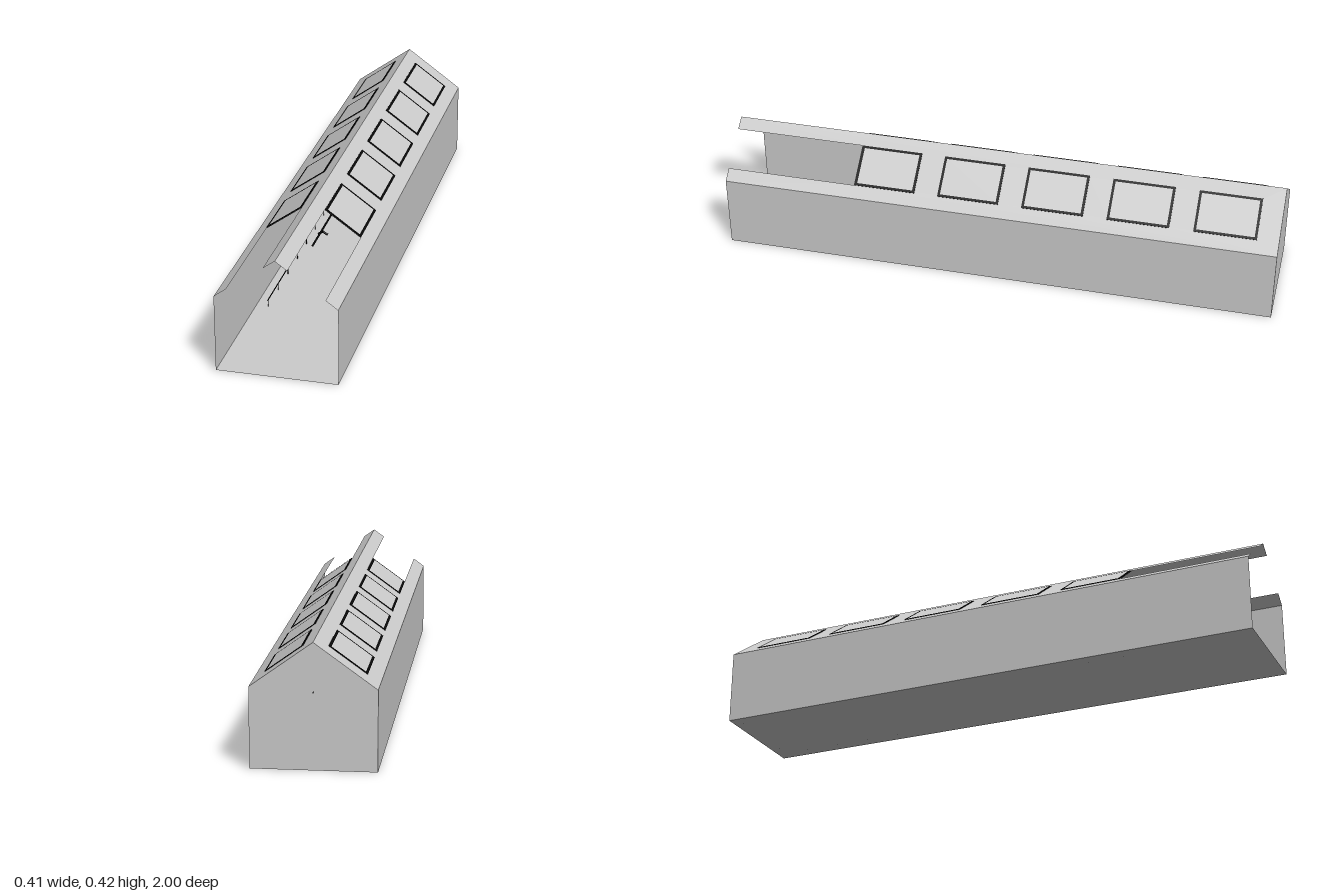
import * as THREE from 'three';

const HALF = 0.205, EAVE = 0.268, RIDGE = 0.416;
const SLOPE = Math.atan2(RIDGE - EAVE, HALF);
const SLOPE_LENGTH = Math.hypot(RIDGE - EAVE, HALF);
const alongSlope = x => x / Math.cos(SLOPE);

const shellMat = new THREE.MeshStandardMaterial({ color: 0xcccccc, side: THREE.DoubleSide });
const darkMat = new THREE.MeshStandardMaterial({ color: 0x080808 });

function add(parent, name, geometry, material, x = 0, y = 0, z = 0) {
  const mesh = new THREE.Mesh(geometry, material);
  mesh.name = name;
  mesh.position.set(x, y, z);
  parent.add(mesh);
  return mesh;
}

// Closed outline of a rectangle in the plane of the roof (across, -z)
function rect(Type, u0, u1, z0, z1) {
  return new Type([[u0, -z0], [u1, -z0], [u1, -z1], [u0, -z1]].map(p => new THREE.Vector2(...p)));
}

// Round bar between two points
function bar(parent, name, a, b, radius, sides = 8) {
  const from = new THREE.Vector3(...a), dir = new THREE.Vector3(...b).sub(from);
  const mesh = add(parent, name, new THREE.CylinderGeometry(radius, radius, dir.length(), sides), darkMat);
  mesh.position.copy(from).addScaledVector(dir, 0.5);
  mesh.quaternion.setFromUnitVectors(new THREE.Vector3(0, 1, 0), dir.normalize());
  return mesh;
}

// One roof slope with five framed windows and an open bay at the front
function roofSlope(side) {
  const group = new THREE.Group();
  group.name = side > 0 ? 'leftRoof' : 'rightRoof';
  group.position.y = RIDGE;
  group.rotation.z = -side * SLOPE;
  group.scale.x = side;
  const inner = alongSlope(0.04), outer = alongSlope(0.164);

  const sheet = new THREE.Shape([
    [0, 1], [SLOPE_LENGTH, 1], [SLOPE_LENGTH, -1], [outer, -1],
    [outer, -0.527], [inner, -0.527], [inner, -1], [0, -1],
  ].map(p => new THREE.Vector2(...p)));

  const b = 0.009;
  for (let i = 0; i < 5; i++) {
    const z0 = -0.923 + i * 0.3065, z1 = z0 + 0.222;
    sheet.holes.push(rect(THREE.Path, inner + b / 2, outer - b / 2, z0 + b / 2, z1 - b / 2));
    const frame = rect(THREE.Shape, inner, outer, z0, z1);
    frame.holes.push(rect(THREE.Path, inner + b, outer - b, z0 + b, z1 - b));
    const frameGeo = new THREE.ExtrudeGeometry(frame, { depth: 0.004, bevelEnabled: false });
    frameGeo.translate(0, 0, -0.002).rotateX(-Math.PI / 2);
    add(group, 'windowFrame', frameGeo, darkMat);
    const pane = new THREE.ShapeGeometry(rect(THREE.Shape, inner + b / 2, outer - b / 2, z0 + b / 2, z1 - b / 2));
    add(group, 'windowPane', pane.rotateX(-Math.PI / 2), shellMat);
  }
  add(group, 'roofSheet', new THREE.ShapeGeometry(sheet).rotateX(-Math.PI / 2), shellMat);
  return group;
}

export function createModel() {
  const model = new THREE.Group();
  model.name = 'greenhouse';

  // Floor, side walls and back gable; the front end is open
  add(model, 'floor', new THREE.PlaneGeometry(2 * HALF, 2).rotateX(-Math.PI / 2), shellMat);
  for (const side of [-1, 1]) {
    add(model, side > 0 ? 'leftWall' : 'rightWall',
      new THREE.PlaneGeometry(2, EAVE).rotateY(side * Math.PI / 2), shellMat, side * HALF, EAVE / 2, 0);
    model.add(roofSlope(side));
  }
  const gable = new THREE.Shape([[-HALF, 0], [HALF, 0], [HALF, EAVE], [0, RIDGE], [-HALF, EAVE]]
    .map(p => new THREE.Vector2(...p)));
  add(model, 'backGable', new THREE.ShapeGeometry(gable).rotateY(Math.PI), shellMat, 0, 0, -1);

  // Heating pipe running round the sides and back on short posts
  const heating = new THREE.Group();
  heating.name = 'heatingPipe';
  model.add(heating);
  const px = 0.163, py = 0.025, front = 0.535, back = -0.965, r = 0.002;
  bar(heating, 'backPipe', [-px - r, py, back], [px + r, py, back], r);
  for (const x of [-px, px]) {
    bar(heating, 'sidePipe', [x, py, front], [x, py, back - r], r);
    for (let i = 0; i <= 12; i++) {
      const z = Math.max(0.53 - i * 0.1275, back);
      bar(heating, 'pipePost', [x, 0, z], [x, py, z], 0.0015, 6);
    }
  }
  for (const x of [-0.107, 0, 0.107]) bar(heating, 'pipePost', [x, 0, back], [x, py, back], 0.0015, 6);

  // Overhead watering pipe with drop nozzles that spread to both sides
  const watering = new THREE.Group();
  watering.name = 'wateringPipe';
  model.add(watering);
  bar(watering, 'overheadPipe', [0, 0.255, 0.54], [0, 0.255, -1], 0.0035);
  for (let i = 0; i < 6; i++) {
    const z = 0.4 - i * 0.25;
    bar(watering, 'dropStem', [0, 0.255, z], [0, 0.241, z], 0.0015, 6);
    for (const side of [-1, 1]) {
      bar(watering, 'nozzle', [0, 0.243, z], [side * 0.017, 0.233, z], 0.004);
    }
  }
  return model;
}
